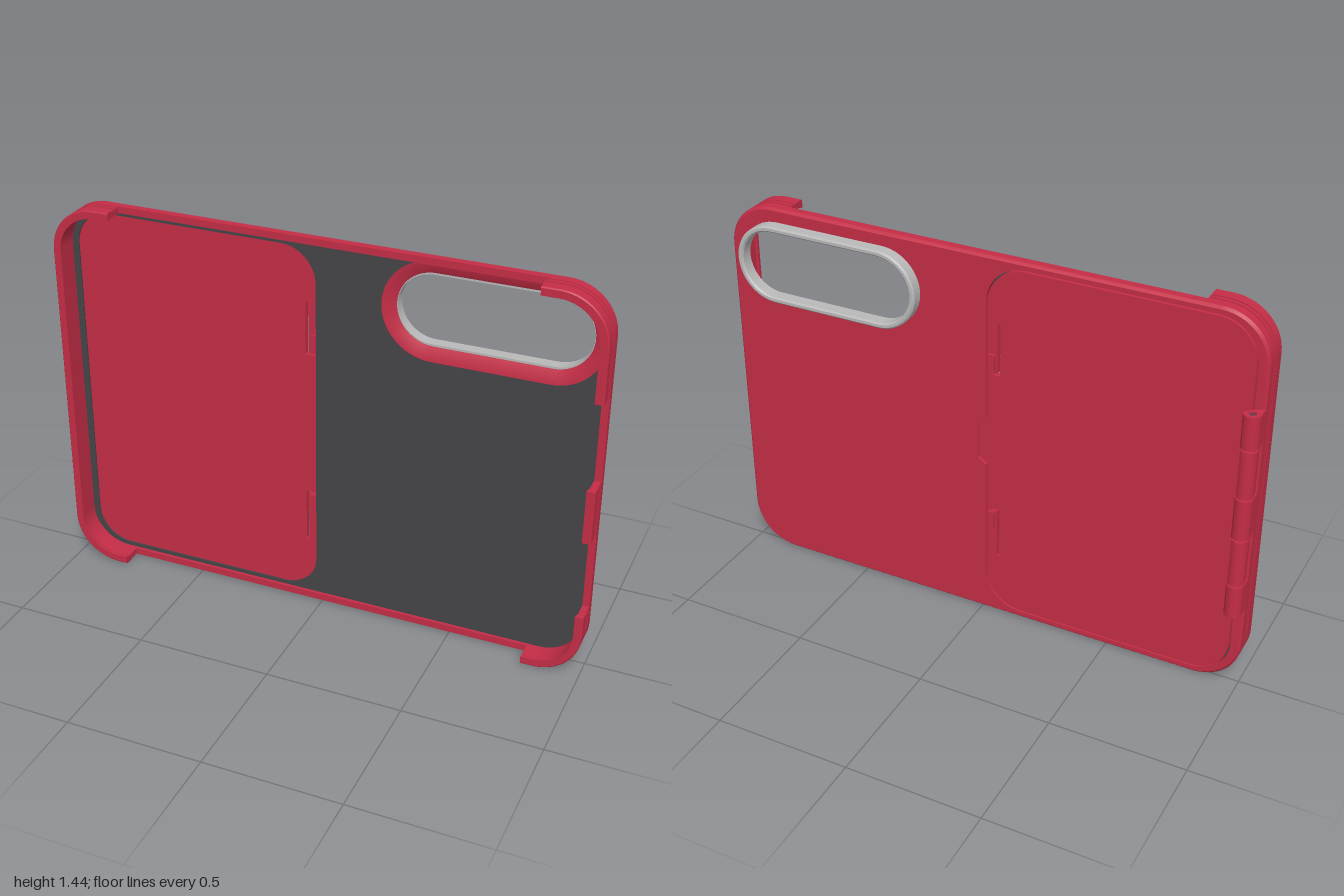
import * as THREE from 'three';
import { toCreasedNormals } from 'three/addons/utils/BufferGeometryUtils.js';

const mat = (name, color) => new THREE.MeshStandardMaterial({ name, color });

// Quarter arc of outline points, each with its outward normal
function arc(cx, cy, r, quarter, n = 14) {
  return Array.from({ length: n + 1 }, (_, i) => {
    const a = (quarter + i / n) * Math.PI / 2, nx = Math.cos(a), ny = Math.sin(a);
    return { x: cx + r * nx, y: cy + r * ny, nx, ny };
  });
}

// Counter-clockwise rounded rectangle
function roundRect(cx, cy, hw, hh, r) {
  return [[1, 1], [-1, 1], [-1, -1], [1, -1]].flatMap(([sx, sy], q) =>
    arc(cx + sx * (hw - r), cy + sy * (hh - r), r, q));
}

// Sweeps a closed [inset, z] section along an outline; open outlines get end caps
function sweep(section, path, closed) {
  const pos = [], idx = [], m = section.length, n = path.length;
  for (const p of path) for (const [d, z] of section) pos.push(p.x - p.nx * d, p.y - p.ny * d, z);
  for (let i = 0; i < (closed ? n : n - 1); i++) {
    const k = (i + 1) % n;
    for (let j = 0; j < m; j++) {
      const l = (j + 1) % m;
      idx.push(i * m + j, k * m + j, k * m + l, i * m + j, k * m + l, i * m + l);
    }
  }
  if (!closed) {
    const contour = section.map(([d, z]) => new THREE.Vector2(-d, z));
    const e = (n - 1) * m;
    for (const [a, b, c] of THREE.ShapeUtils.triangulateShape(contour, [])) {
      idx.push(a, b, c, e + a, e + c, e + b);
    }
  }
  const g = new THREE.BufferGeometry();
  g.setAttribute('position', new THREE.Float32BufferAttribute(pos, 3));
  g.setIndex(idx);
  return toCreasedNormals(g, 0.5);
}

// Flat plate between two depths, with holes
const vec = pts => pts.map(p => new THREE.Vector2(p.x, p.y));
function plate(outline, holes, z0, z1) {
  const s = new THREE.Shape(vec(outline));
  s.holes = holes.map(h => new THREE.Path(vec(h)));
  const g = new THREE.ExtrudeGeometry(s, { depth: z1 - z0, bevelEnabled: false });
  g.translate(0, 0, z0);
  return toCreasedNormals(g, 0.5);
}

export function createModel() {
  const model = new THREE.Group();
  const red = mat('crimson shell', 0xc42d46);
  const dark = mat('charcoal lining', 0x454549);
  const silver = mat('silver metal', 0xb9b9b9);
  const add = (name, geo, material, parent = model) => {
    const mesh = new THREE.Mesh(geo, material);
    mesh.name = name;
    parent.add(mesh);
    return mesh;
  };
  const box = (name, x0, x1, y0, y1, z0, z1, material, parent) =>
    add(name, new THREE.BoxGeometry(x1 - x0, y1 - y0, z1 - z0), material, parent)
      .position.set((x0 + x1) / 2, (y0 + y1) / 2, (z0 + z1) / 2);

  const H = 1.44, R = 0.17, cy = H / 2;
  const caseOutline = roundRect(0, cy, 1, cy, R);
  const inner = roundRect(0, cy, 0.985, cy - 0.015, R - 0.015);
  const doorRect = (grow, r = 0.13) =>
    roundRect(-0.49, cy, 0.46 + grow, 0.68 + grow, r + grow);
  const lensX = 0.593, lensY = 1.243;
  const lensOpening = roundRect(lensX, lensY, 0.385, 0.18, 0.18);

  // Back plate with the door opening and its finger notch
  const doorOpening = doorRect(0.014);
  const edge = -0.016;
  doorOpening.push({ x: edge, y: 0.63 }, { x: edge + 0.03, y: 0.65 },
    { x: edge + 0.03, y: 0.8 }, { x: edge, y: 0.82 });
  add('backPlate', plate(inner, [doorOpening, lensOpening], -0.025, -0.005), red);
  box('fingerNotchFloor', -0.02, 0.02, 0.62, 0.83, -0.015, -0.004, red);

  // Low rim all round
  add('rim', sweep([[0.009, -0.025], [0, -0.016], [0, 0.012], [0.025, 0.012], [0.025, -0.025]],
    caseOutline, true), red);

  // Raised grooved walls: one long side, two corners and a middle clip
  const wallSection = [[0, 0.01], [0, 0.018], [0.005, 0.018], [0.005, 0.025], [0, 0.025],
    [0, 0.038], [0.005, 0.038], [0.005, 0.046], [0, 0.046], [0, 0.086], [0.004, 0.09],
    [0.03, 0.09], [0.03, 0.08], [0.025, 0.072], [0.025, 0.01]];
  const at = (x, y, nx, ny) => ({ x, y, nx, ny });
  const walls = {
    leftSideWall: [at(-0.77, H, 0, 1), ...arc(-1 + R, H - R, R, 1),
      ...arc(-1 + R, R, R, 2), at(-0.79, 0, 0, -1)],
    upperCornerWall: [at(1, 1.07, 1, 0), ...arc(1 - R, H - R, R, 0), at(0.77, H, 0, 1)],
    lowerCornerWall: [at(0.79, 0, 0, -1), ...arc(1 - R, R, R, 3), at(1, 0.25, 1, 0)],
    middleClip: [at(1, 0.55, 1, 0), at(1, 0.75, 1, 0)],
  };
  for (const [name, path] of Object.entries(walls)) add(name, sweep(wallSection, path, false), red);

  // Soft lining on the inside
  add('lining', plate(inner, [doorRect(0), lensOpening], -0.005, 0), dark);

  // Sloped surround of the camera window and the metal ring behind it
  add('cameraSurround', sweep([[0, -0.025], [0, 0.001], [0.005, 0.001], [0.047, -0.02],
    [0.047, -0.025]], lensOpening, true), red);
  add('cameraRing', sweep([[0.006, -0.07], [0, -0.064], [0, -0.022], [0.022, -0.022],
    [0.022, -0.064], [0.016, -0.07]], roundRect(lensX, lensY, 0.358, 0.147, 0.147), true), silver);

  // Door with two L-shaped spring slits and catches
  const door = new THREE.Group();
  door.name = 'door';
  model.add(door);
  const slit = [[-0.07, 1], [-0.035, 1], [-0.035, 1.008], [-0.06, 1.008], [-0.06, 1.2], [-0.07, 1.2]];
  const slits = [
    slit.map(([x, y]) => ({ x, y })),
    slit.map(([x, y]) => ({ x, y: 1.45 - y })).reverse(),
  ];
  add('doorPanel', plate(doorRect(0.008), slits, -0.025, -0.0051), red, door);
  for (const y of [1.01, 0.37]) box('doorCatch', -0.052, -0.03, y, y + 0.07, -0.035, 0.002, red, door);

  // Hinge: alternating case and door knuckles around a pin
  const hinge = new THREE.Group();
  hinge.name = 'hinge';
  model.add(hinge);
  const knuckle = (name, y0, y1, onDoor) => {
    const s = new THREE.Shape();
    if (onDoor) s.moveTo(-0.905, 0.02).absarc(-0.97, 0.06, 0.03, 0.7, Math.PI).lineTo(-0.995, 0.029);
    else s.moveTo(-0.94, 0.015).absarc(-0.97, 0.06, 0.03, 0, Math.PI).lineTo(-1, 0.01);
    s.closePath();
    s.holes.push(new THREE.Path().absarc(-0.97, 0.06, 0.013, 0, Math.PI * 2, true));
    const g = new THREE.ExtrudeGeometry(s, { depth: y1 - y0, bevelEnabled: false, curveSegments: 16 });
    g.rotateX(-Math.PI / 2).translate(0, y0, 0);
    add(name, toCreasedNormals(g, 0.5), red, hinge);
  };
  [0.33, 0.46, 0.645, 0.805, 0.99, 1.12].forEach((y, i, ys) => {
    if (i < 5) knuckle(i % 2 ? 'doorKnuckle' : 'caseKnuckle', y + 0.003, ys[i + 1] - 0.003, i % 2 === 1);
  });
  add('hingePin', new THREE.CylinderGeometry(0.0125, 0.0125, 0.77, 16), dark, hinge)
    .position.set(-0.97, 0.725, -0.06);

  return model;
}
